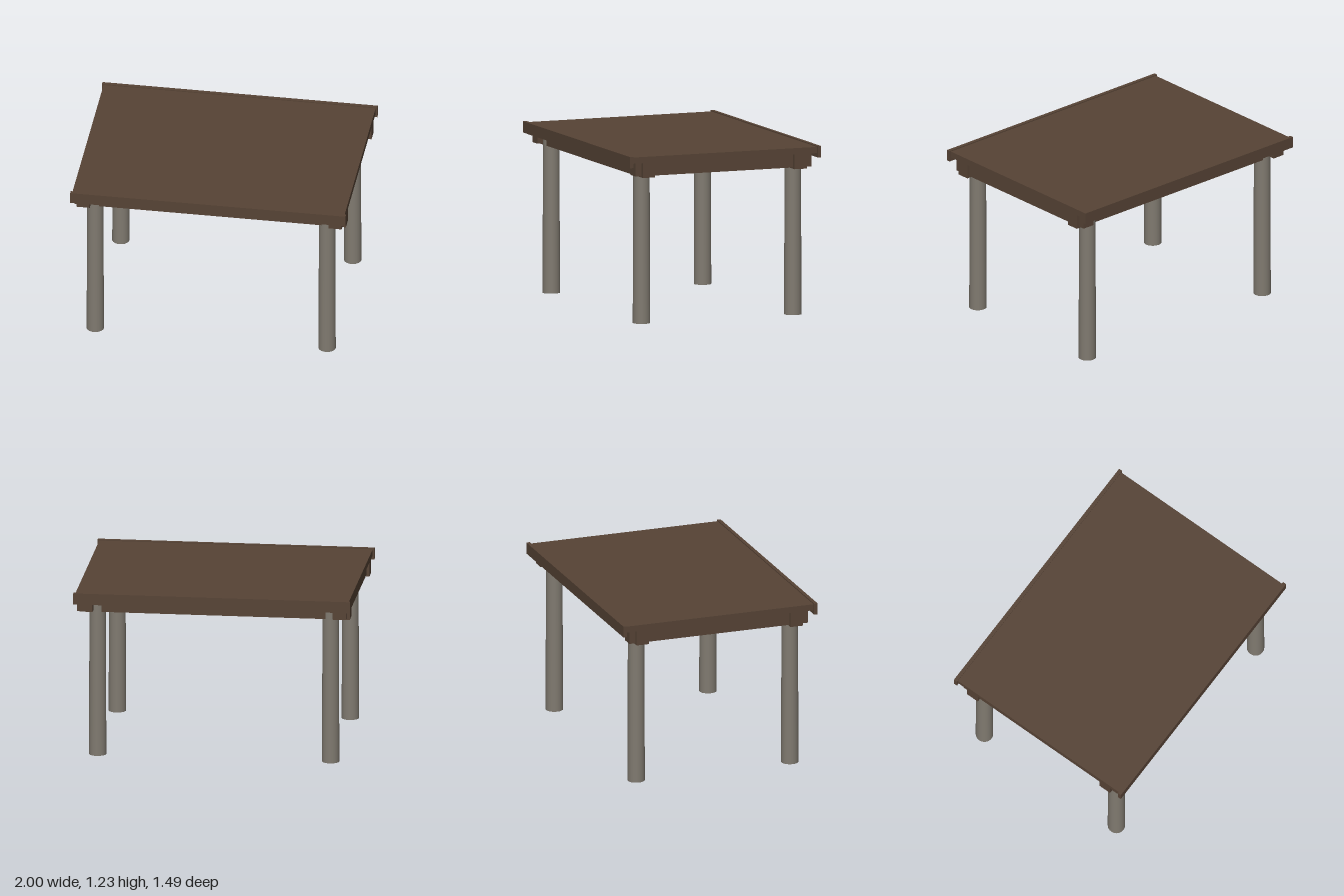
import * as THREE from 'three';

export function createModel() {
  const table = new THREE.Group();
  table.name = 'table';
  const wood = new THREE.MeshStandardMaterial({ color: 0x564335 });
  wood.name = 'dark wood';
  const stone = new THREE.MeshStandardMaterial({ color: 0x807a70 });
  stone.name = 'grey post';

  // Box spanning y0..y1, centred on x and z
  function board(name, width, y0, y1, depth, x, z) {
    const mesh = new THREE.Mesh(new THREE.BoxGeometry(width, y1 - y0, depth), wood);
    mesh.name = name;
    mesh.position.set(x, (y0 + y1) / 2, z);
    table.add(mesh);
  }

  // Flat top
  board('tableTop', 1.976, 1.178, 1.223, 1.44, 0, 0);

  for (const s of [-1, 1]) {
    const end = s > 0 ? 'front' : 'back';
    const side = s > 0 ? 'left' : 'right';

    // Raised edge trim, long beam and crossing side beam
    board(end + 'EdgeTrim', 2, 1.148, 1.23, 0.027, 0, s * 0.73);
    board(end + 'Beam', 1.972, 1.07, 1.18, 0.096, 0, s * 0.589);
    board(side + 'Beam', 0.096, 1.08, 1.179, 1.368, s * 0.915, 0);

    // Slightly tapered round legs, standing just proud of the long beams
    for (const t of [-1, 1]) {
      const leg = new THREE.Mesh(new THREE.CylinderGeometry(0.059, 0.063, 1.19, 20), stone);
      leg.name = end + (t > 0 ? 'Left' : 'Right') + 'Leg';
      leg.position.set(t * 0.842, 0.595, s * 0.588);
      table.add(leg);
    }
  }
  return table;
}
